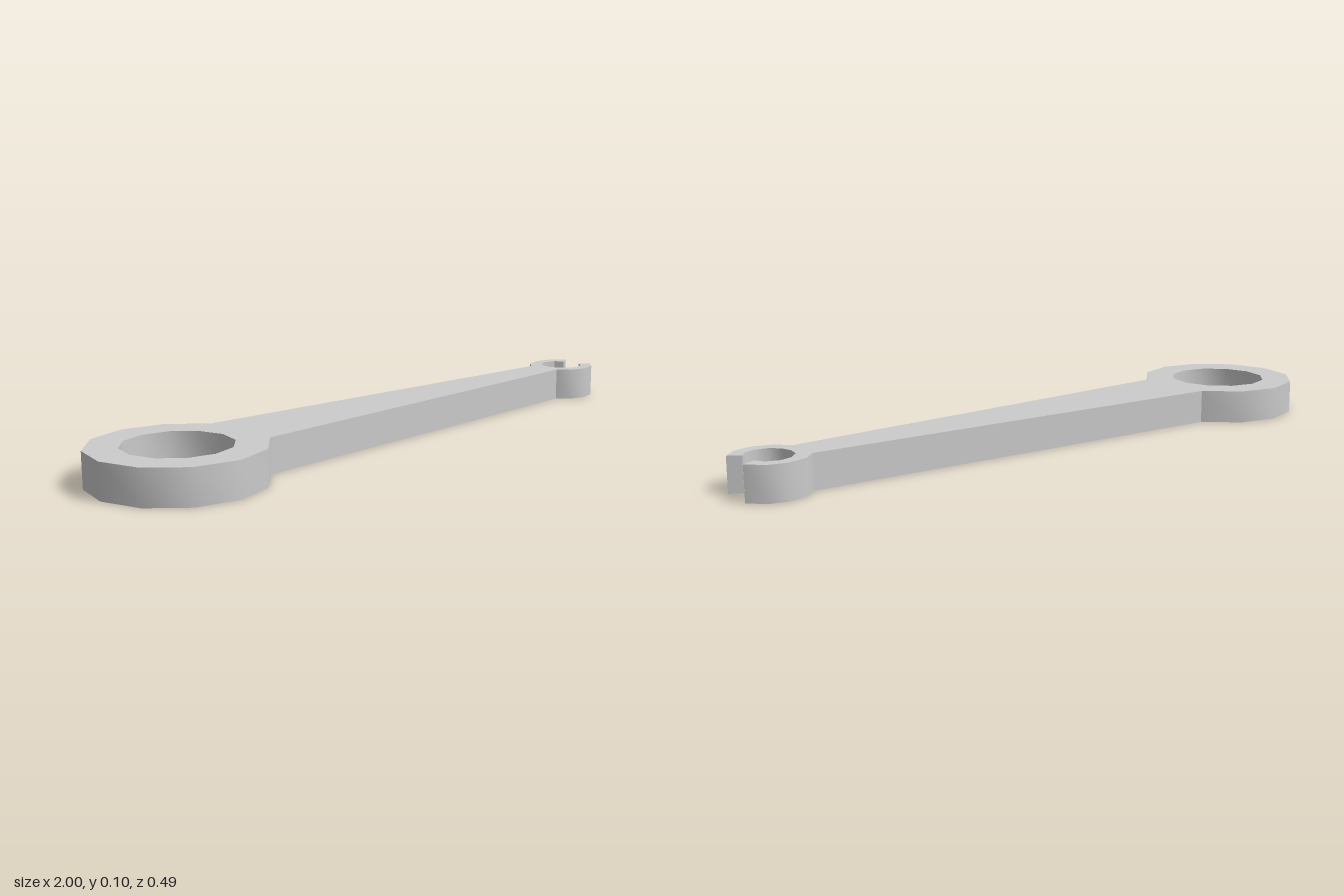
import * as THREE from 'three';
import { toCreasedNormals } from 'three/addons/utils/BufferGeometryUtils.js';

const HEIGHT = 0.102;
const RING_X = -0.7545;

// Points of a slightly turned twelve-sided ring, as [x, z]
function ringPoints(radius, first, last) {
  const points = [];
  for (let k = first; k <= last; k++) {
    const a = THREE.MathUtils.degToRad(k * 30 - 2.2);
    points.push([RING_X + radius * Math.cos(a), radius * Math.sin(a)]);
  }
  return points;
}

// The shape lies in x / -z, so that it lies flat after the turn
const toShape = (points) => points.map(([x, z]) => new THREE.Vector2(x, -z));

export function createModel() {
  const group = new THREE.Group();
  group.name = 'wrench';

  // Open claw at the narrow end: outer edge, tip, inner edge, tip, outer edge
  const claw = [
    [0.81, -0.056], [0.844, -0.09], [0.901, -0.104], [0.957, -0.091], [1, -0.048],
    [0.963, -0.03], [0.945, -0.057], [0.907, -0.07], [0.872, -0.06], [0.846, -0.033],
    [0.84, 0.002], [0.851, 0.037], [0.876, 0.061], [0.911, 0.069], [0.942, 0.059],
    [0.963, 0.035], [0.998, 0.057], [0.96, 0.092], [0.904, 0.105], [0.845, 0.087],
    [0.814, 0.05],
  ];

  // Closed ring, tapering handle and claw share one outline
  const outline = new THREE.Shape(toShape([...ringPoints(0.246, 1, 11), ...claw]));
  // The hole runs against the outline, so that its wall faces inward
  outline.holes.push(new THREE.Path(toShape(ringPoints(0.153, 0, 11).reverse())));

  const extruded = new THREE.ExtrudeGeometry(outline, { depth: HEIGHT, bevelEnabled: false });
  extruded.rotateX(-Math.PI / 2);

  const body = new THREE.Mesh(
    toCreasedNormals(extruded, 0.65),
    new THREE.MeshStandardMaterial({ color: 0xcccccc })
  );
  body.name = 'ringHandleAndClaw';
  group.add(body);
  return group;
}
